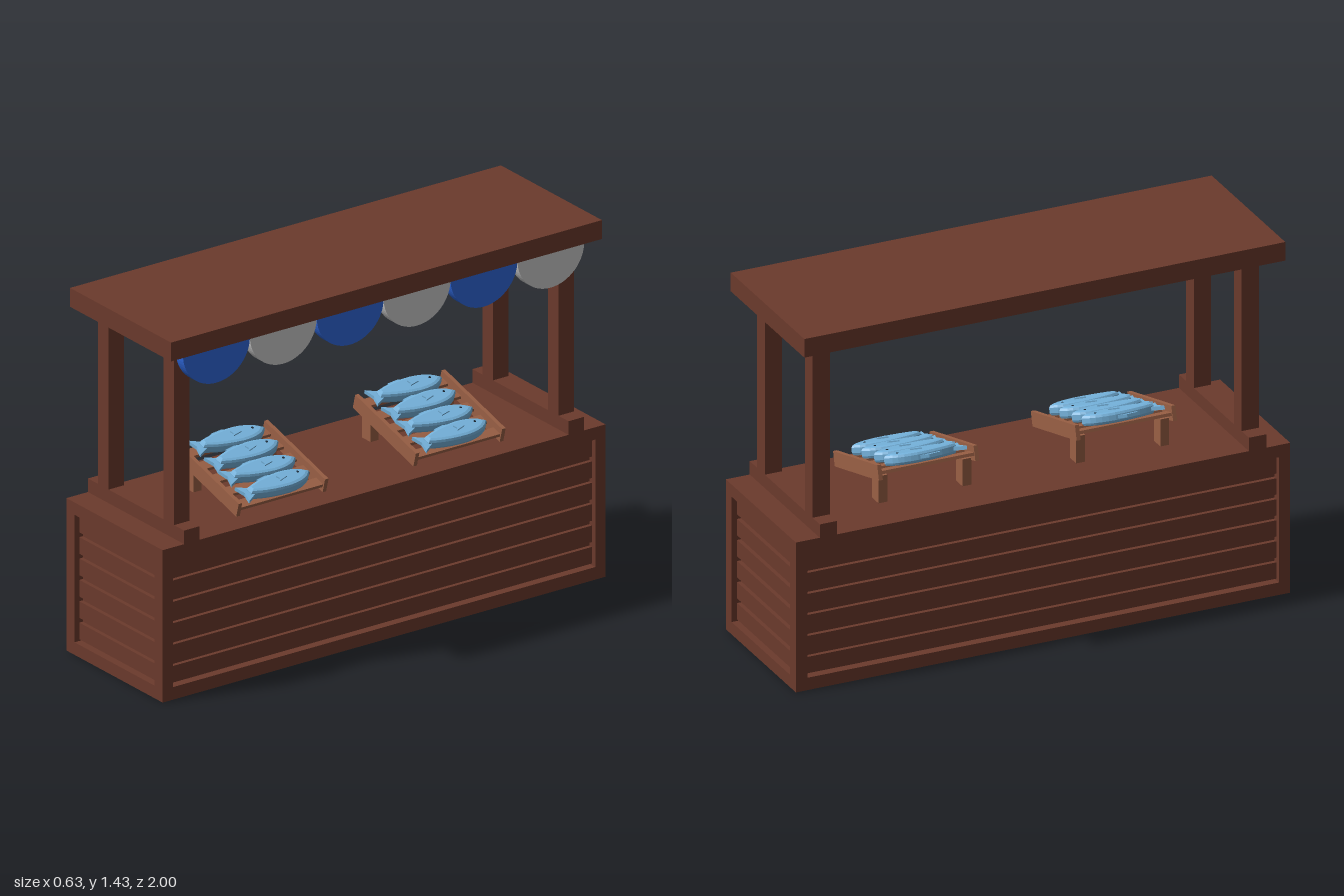
import * as THREE from 'three';

const mat = (color) => new THREE.MeshStandardMaterial({ color, flatShading: true, side: THREE.DoubleSide });
const wood = mat(0x6b3a2c);
const lightWood = mat(0x9a6045);
const blue = mat(0x2f68dc);
const grey = mat(0xcccccc);
const fishSkin = mat(0x76b4de);
const dark = mat(0x1c2a38);

function add(parent, name, geometry, material, x = 0, y = 0, z = 0) {
  const mesh = new THREE.Mesh(geometry, material);
  mesh.name = name;
  mesh.position.set(x, y, z);
  parent.add(mesh);
  return mesh;
}

// Box given by its extents on each axis
function box(parent, name, material, [x0, x1], [y0, y1], [z0, z1]) {
  const g = new THREE.BoxGeometry(x1 - x0, y1 - y0, z1 - z0);
  return add(parent, name, g, material, (x0 + x1) / 2, (y0 + y1) / 2, (z0 + z1) / 2);
}

// Counter: framed box with recessed horizontal slats on all four sides
function makeCounter() {
  const counter = new THREE.Group();
  counter.name = 'counter';
  box(counter, 'core', wood, [-0.262, 0.262], [0.02, 0.58], [-0.962, 0.962]);
  box(counter, 'bottomFrame', wood, [-0.3, 0.3], [0, 0.05], [-1, 1]);
  box(counter, 'counterTop', wood, [-0.3, 0.3], [0.557, 0.606], [-1, 1]);
  for (const sx of [-1, 1]) {
    for (const sz of [-1, 1]) {
      add(counter, 'cornerFrame', new THREE.BoxGeometry(0.05, 0.507, 0.046), wood, sx * 0.275, 0.3035, sz * 0.977);
    }
  }
  for (let i = 0; i < 6; i++) {
    const y = 0.0895 + i * 0.085;
    add(counter, 'slatRing', new THREE.BoxGeometry(0.556, 0.066, 1.956), wood, 0, y, 0);
  }
  return counter;
}

// Posts, cross beams and roof
function makeFrame() {
  const frame = new THREE.Group();
  frame.name = 'canopyFrame';
  for (const sz of [-1, 1]) {
    add(frame, 'crossBeam', new THREE.BoxGeometry(0.6, 0.056, 0.07), wood, 0, 0.632, sz * 0.868);
    for (const sx of [-1, 1]) {
      add(frame, 'post', new THREE.BoxGeometry(0.066, 0.76, 0.07), wood, sx * 0.204, 0.98, sz * 0.868);
    }
  }
  box(frame, 'roof', wood, [-0.315, 0.315], [1.355, 1.43], [-0.973, 0.973]);
  return frame;
}

// Row of half-round scallops under the roof edge
function makeAwning() {
  const awning = new THREE.Group();
  awning.name = 'awning';
  const half = new THREE.Shape();
  half.absarc(0, 0, 0.151, Math.PI, Math.PI * 2, false);
  const geo = new THREE.ExtrudeGeometry(half, { depth: 0.044, bevelEnabled: false, curveSegments: 16 });
  geo.rotateY(Math.PI / 2).scale(1, 0.96, 1);
  for (let i = 0; i < 6; i++) {
    add(awning, 'scallop', geo, i % 2 ? grey : blue, 0.253, 1.355, 0.755 - i * 0.302);
  }
  return awning;
}

// Flat outline laid down: shape x runs toward -z, thickness runs along y
function flatPart(shape, depth, bevel) {
  const g = new THREE.ExtrudeGeometry(shape, {
    depth, bevelEnabled: bevel > 0, bevelSize: bevel, bevelThickness: bevel * 0.85, bevelSegments: 2, curveSegments: 5,
  });
  return g.translate(0, 0, -depth / 2).rotateX(-Math.PI / 2).rotateY(Math.PI / 2);
}

const bodyShape = new THREE.Shape();
bodyShape.moveTo(0.137, 0);
bodyShape.quadraticCurveTo(0.11, 0.03, 0.04, 0.033);
bodyShape.quadraticCurveTo(-0.05, 0.03, -0.11, 0.006);
bodyShape.lineTo(-0.11, -0.006);
bodyShape.quadraticCurveTo(-0.05, -0.03, 0.04, -0.033);
bodyShape.quadraticCurveTo(0.11, -0.03, 0.137, 0);
const bodyGeo = flatPart(bodyShape, 0.02, 0.014);

const polygon = (pts) => new THREE.Shape(pts.map(([x, y]) => new THREE.Vector2(x, y)));
const tailGeo = flatPart(polygon([[-0.1, 0.014], [-0.155, 0.045], [-0.143, 0], [-0.155, -0.045], [-0.1, -0.014]]), 0.014, 0);
const finGeo = flatPart(polygon([[0.05, 0.04], [0.0, 0.058], [-0.05, 0.05], [-0.04, 0.025]]), 0.012, 0);
const sideFinGeo = flatPart(polygon([[0.05, 0], [0.01, 0.016], [0.015, 0], [0.01, -0.012]]), 0.006, 0);

function makeFish() {
  const fish = new THREE.Group();
  fish.name = 'fish';
  add(fish, 'body', bodyGeo, fishSkin);
  add(fish, 'tail', tailGeo, fishSkin);
  add(fish, 'backFin', finGeo, fishSkin);
  add(fish, 'sideFin', sideFinGeo, fishSkin, 0, 0.024, 0);
  add(fish, 'eye', new THREE.CylinderGeometry(0.005, 0.005, 0.003, 8), dark, -0.008, 0.022, -0.105);
  return fish;
}

// Sloping display tray with two legs and four fish
function makeTray(z) {
  const stand = new THREE.Group();
  stand.name = 'fishStand';
  stand.position.z = z;
  const tray = new THREE.Group();
  tray.name = 'tray';
  tray.position.set(0.036, 0.692, 0);
  tray.rotation.z = -0.267;
  stand.add(tray);
  for (const s of [-1, 1]) {
    add(tray, 'sideBoard', new THREE.BoxGeometry(0.392, 0.058, 0.016), lightWood, 0, 0, s * 0.195);
    box(stand, 'leg', lightWood, [-0.125, -0.07], [0.606, 0.715], [s * 0.17 - 0.018, s * 0.17 + 0.018]);
  }
  for (let i = 0; i < 5; i++) {
    add(tray, 'slat', new THREE.BoxGeometry(0.045, 0.012, 0.376), lightWood, -0.168 + i * 0.084, -0.003, 0);
  }
  for (let i = 0; i < 4; i++) {
    const fish = makeFish();
    fish.position.set(-0.15 + i * 0.1, 0.028, 0.005);
    fish.rotation.y = i % 2 ? 0.04 : -0.03;
    tray.add(fish);
  }
  return stand;
}

export function createModel() {
  const stall = new THREE.Group();
  stall.name = 'marketStall';
  stall.add(makeCounter(), makeFrame(), makeAwning(), makeTray(0.405), makeTray(-0.395));
  return stall;
}
